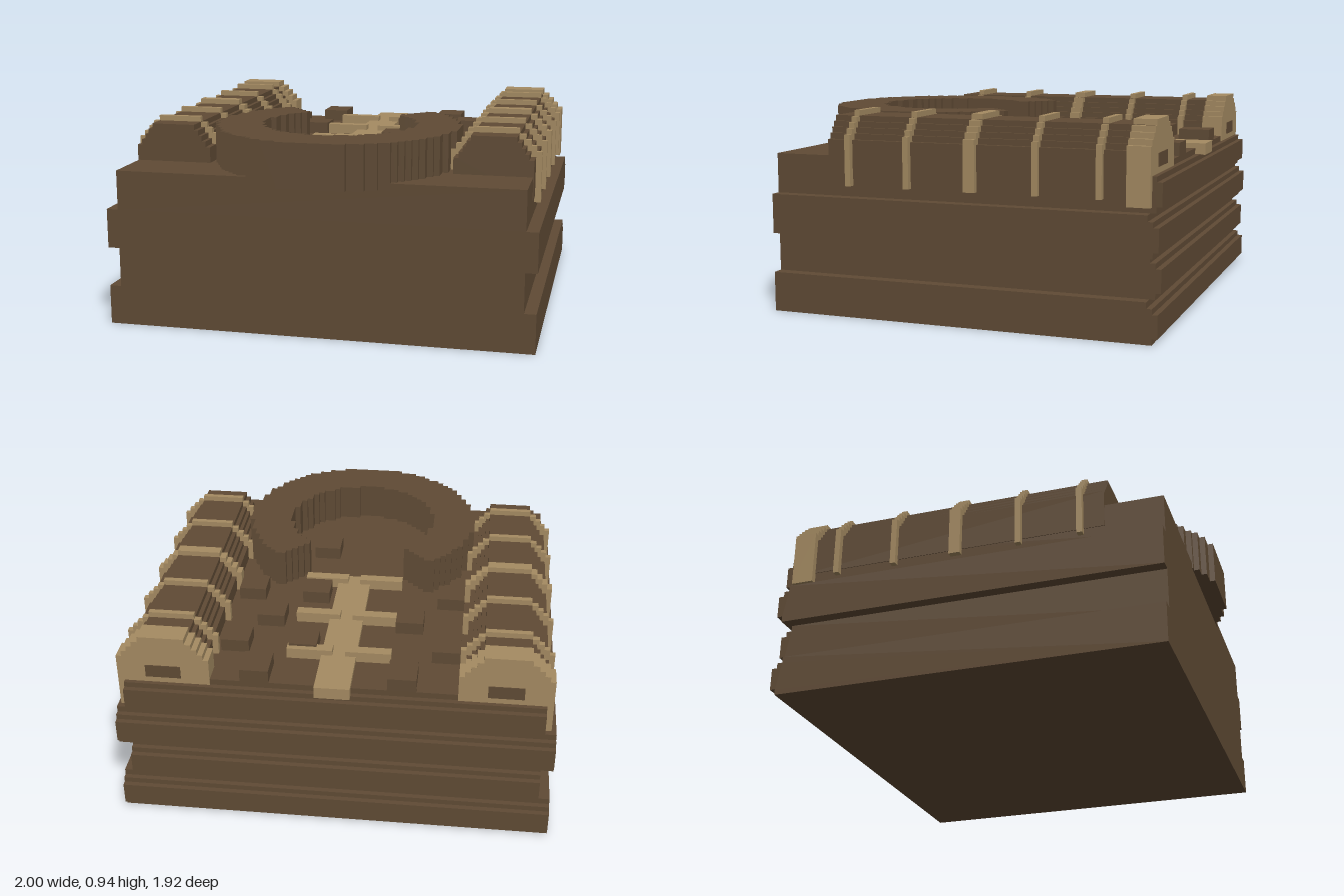
import * as THREE from 'three';

const wood = new THREE.MeshStandardMaterial({ color: 0x604b35 });
wood.name = 'darkWood';
const trim = new THREE.MeshStandardMaterial({ color: 0xa58b62 });
trim.name = 'paleTrim';

const STEP = 0.0265;

function add(parent, name, geometry, material) {
  const mesh = new THREE.Mesh(geometry, material);
  mesh.name = name;
  parent.add(mesh);
  return mesh;
}

// Box given by its limits on each axis
function block(parent, name, material, [x0, x1], [y0, y1], [z0, z1]) {
  const g = new THREE.BoxGeometry(x1 - x0, y1 - y0, z1 - z0);
  g.translate((x0 + x1) / 2, (y0 + y1) / 2, (z0 + z1) / 2);
  return add(parent, name, g, material);
}

function extrude(points, depth) {
  const shape = new THREE.Shape(points.map(([x, y]) => new THREE.Vector2(x, y)));
  return new THREE.ExtrudeGeometry(shape, { depth, bevelEnabled: false });
}

// Stepped arch: tiers are [half width, top height] from the bottom up
function archProfile(bottom, tiers) {
  const half = [[tiers[0][0], bottom]];
  tiers.forEach(([w, top], i) => {
    half.push([w, top]);
    if (tiers[i + 1]) half.push([tiers[i + 1][0], top]);
  });
  return half.concat(half.slice().reverse().map(([x, y]) => [-x, y]));
}

// Turns a smooth closed outline into axis-aligned steps
function stairs(points) {
  const out = [];
  for (const [px, py] of points) {
    const p = [Math.round(px / STEP), Math.round(py / STEP)];
    const last = out[out.length - 1];
    if (last && last[0] === p[0] && last[1] === p[1]) continue;
    if (last && last[0] !== p[0] && last[1] !== p[1]) out.push([p[0], last[1]]);
    out.push(p);
  }
  // keep corners only
  const corners = out.filter((p, i) => {
    const a = out[(i + out.length - 1) % out.length];
    const b = out[(i + 1) % out.length];
    return !((a[0] === p[0] && b[0] === p[0]) || (a[1] === p[1] && b[1] === p[1]));
  });
  return corners.map(([x, y]) => [x * STEP, y * STEP]);
}

export function createModel() {
  const model = new THREE.Group();
  model.name = 'logPlatform';

  // Four stacked layers, alternately wide and narrow, rounded in steps at the back
  const layer = 0.185;
  for (let i = 0; i < 4; i++) {
    const half = i % 2 ? 0.945 : 1;
    const profile = [
      [0.87, 0], [0.87, layer], [-0.92, layer], [-0.92, 0.157], [-0.945, 0.157],
      [-0.945, 0.132], [-0.97, 0.132], [-0.97, 0.027], [-0.945, 0.027], [-0.945, 0],
    ];
    const g = extrude(profile, half * 2);
    g.rotateY(-Math.PI / 2);
    g.translate(half, i * layer, 0);
    add(model, 'baseLayer', g, wood);
  }

  // Side ridges with raised bands and a thick end cap
  const ridgeProfile = archProfile(0.635,
    [[0.183, 0.815], [0.16, 0.842], [0.142, 0.868], [0.125, 0.894], [0.105, 0.92]]);
  const tiers = [[0.21, 0.84], [0.185, 0.867], [0.16, 0.893], [0.135, 0.918], [0.105, 0.945]];
  const bands = [[0.49, 0.027], [0.2, 0.027], [-0.105, 0.054], [-0.41, 0.027], [-0.7, 0.027]];
  for (const side of [-1, 1]) {
    const ridge = new THREE.Group();
    ridge.name = side > 0 ? 'leftRidge' : 'rightRidge';
    ridge.position.x = side * 0.765;
    model.add(ridge);
    add(ridge, 'ridgeBody', extrude(ridgeProfile, 1.515), wood).position.z = -0.915;
    for (const [z, width] of bands) {
      add(ridge, 'ridgeBand', extrude(archProfile(0.605, tiers), width), trim).position.z = z - width / 2;
    }
    add(ridge, 'endCap', extrude(archProfile(0.58, tiers), 0.105), trim).position.z = -0.925;
    block(ridge, 'endCapRecess', wood, [-0.08, 0.08], [0.74, 0.8], [-0.929, -0.924]);
  }

  // Horseshoe wall: outer arc, then inner arc back, with tapering tips
  const outline = [];
  const arc = (cz, r, from, to) => {
    for (let i = 0; i <= 400; i++) {
      const a = from + (to - from) * i / 400;
      outline.push([Math.sin(a) * r, cz + Math.cos(a) * r]);
    }
  };
  const line = (a, b) => {
    for (let i = 0; i <= 60; i++) {
      outline.push([a[0] + (b[0] - a[0]) * i / 60, a[1] + (b[1] - a[1]) * i / 60]);
    }
  };
  const outerEnd = Math.PI - Math.asin(0.38 / 0.58);
  const innerEnd = Math.PI - Math.asin(0.24 / 0.365);
  arc(0.385, 0.58, -outerEnd, outerEnd);
  line([0.38, -0.08], [0.24, 0.06]);
  arc(0.37, 0.365, innerEnd, -innerEnd);
  line([-0.24, 0.06], [-0.38, -0.08]);
  const wall = extrude(stairs(outline), 0.21);
  wall.rotateX(Math.PI / 2);
  wall.translate(0, 0.92, 0);
  add(model, 'horseshoeWall', wall, wood);

  // Central path with raised cross pieces
  block(model, 'path', trim, [-0.08, 0.08], [0.71, 0.765], [-0.97, 0.02]);
  for (const z of [-0.685, -0.37, -0.03]) {
    block(model, 'crossPiece', trim, [-0.24, -0.03], [0.74, 0.79], [z - 0.025, z + 0.025]);
    block(model, 'crossPiece', trim, [0.03, 0.24], [0.74, 0.79], [z - 0.025, z + 0.025]);
  }

  // Small blocks scattered over the deck: x start, z start, z length
  const blocks = [
    [-0.37, -0.92, 0.155], [-0.555, -0.683, 0.13], [-0.37, -0.45, 0.13], [-0.555, -0.215, 0.13],
    [0.29, -0.92, 0.155], [0.42, -0.683, 0.13], [0.29, -0.45, 0.13], [0.42, -0.215, 0.13],
    [0.105, -0.683, 0.13], [0.105, -0.215, 0.13], [0.105, 0.235, 0.13],
  ];
  for (const [x, z, length] of blocks) {
    block(model, 'deckBlock', wood, [x, x + 0.13], [0.72, 0.8], [z, z + length]);
  }

  return model;
}
